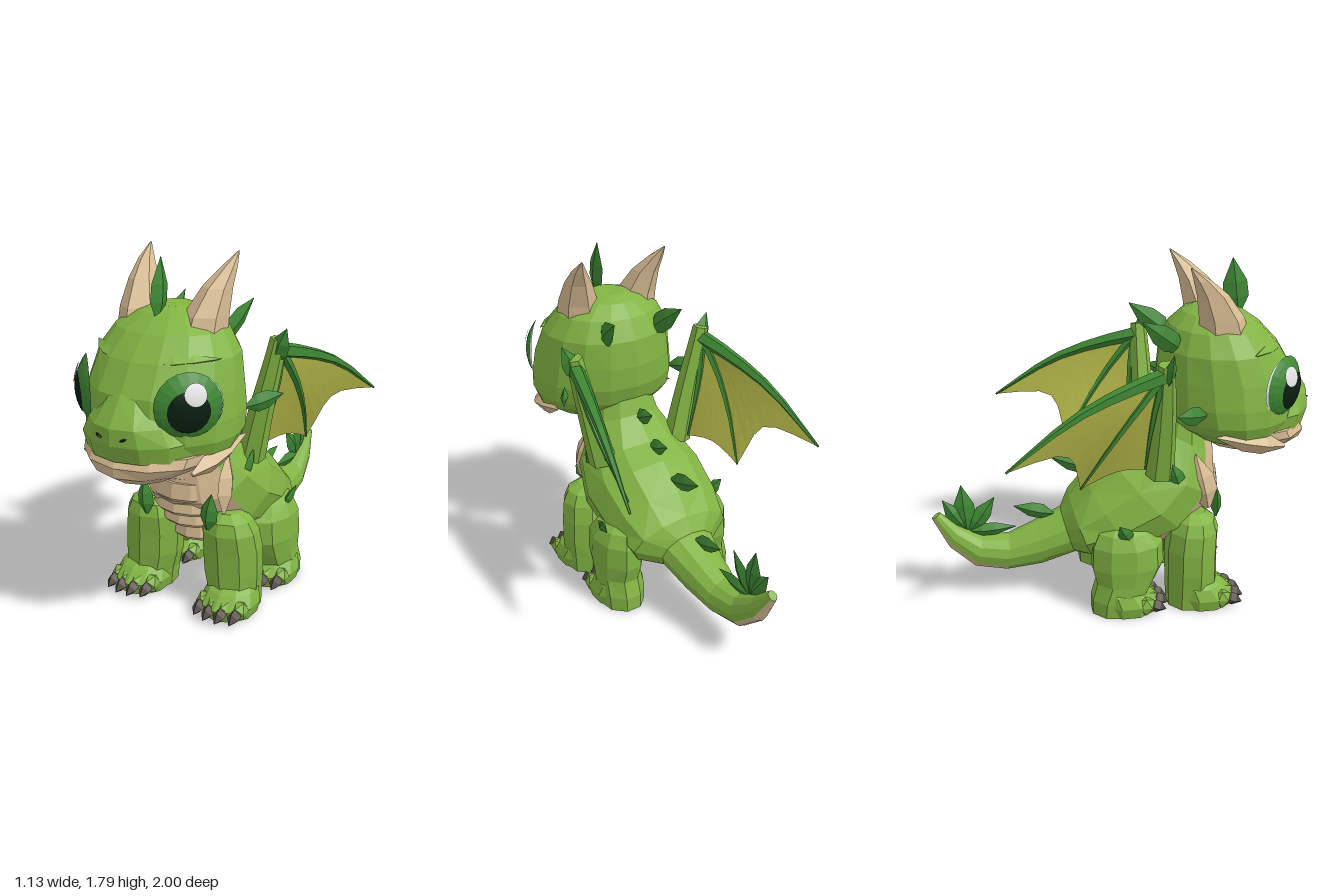
import * as THREE from 'three';

const V = (x, y, z) => new THREE.Vector3(x, y, z);
const mat = (name, color, extra = {}) => {
  const m = new THREE.MeshStandardMaterial({ color, ...extra });
  m.name = name;
  return m;
};

// Faceted geometry from a flat list of corner points
function facets(points) {
  const g = new THREE.BufferGeometry().setFromPoints(points);
  g.computeVertexNormals();
  return g;
}
const corners = (g) => {
  const p = (g.index ? g.toNonIndexed() : g).attributes.position;
  return Array.from({ length: p.count }, (_, i) => new THREE.Vector3().fromBufferAttribute(p, i));
};
const reverse = (pts) => pts.map((_, i) => pts[i % 3 === 0 ? i : i % 3 === 1 ? i + 1 : i - 1]);
const mirrored = (g) => facets(reverse(corners(g).map((p) => V(-p.x, p.y, p.z))));

// Skin between rings, closed at both ends; pick(ring, segment) true goes to the second material
function loft(rings, pick = null) {
  const lists = [[], []], n = rings[0].length;
  for (let i = 0; i < rings.length - 1; i++) {
    for (let k = 0; k < n; k++) {
      const a = rings[i][k], b = rings[i][(k + 1) % n], c = rings[i + 1][(k + 1) % n], d = rings[i + 1][k];
      const list = lists[pick && pick(i, k) ? 1 : 0];
      if ((i + k) % 2) list.push(a, b, c, a, c, d);
      else list.push(a, b, d, b, c, d);
    }
  }
  [rings[0], rings[rings.length - 1]].forEach((r, end) => {
    const mid = r.reduce((s, p) => s.add(p), V(0, 0, 0)).divideScalar(n);
    for (let k = 0; k < n; k++) {
      const a = r[k], b = r[(k + 1) % n];
      lists[0].push(...(end ? [a, b, mid] : [b, a, mid]));
    }
  });
  let pts = [...lists[0], ...lists[1]], volume = 0;
  for (let i = 0; i < pts.length; i += 3) volume += pts[i].dot(V(0, 0, 0).crossVectors(pts[i + 1], pts[i + 2]));
  if (volume < 0) pts = reverse(pts);
  const g = facets(pts);
  if (pick) {
    g.addGroup(0, lists[0].length, 0);
    g.addGroup(lists[0].length, lists[1].length, 1);
  }
  return g;
}
const ringOf = (n, f) => Array.from({ length: n }, (_, k) => f((k / n) * Math.PI * 2));
// Level ring, and ring standing between a top and a bottom point of the side profile
const level = (n) => ([x, y, z, rx, rz]) => ringOf(n, (a) => V(x + Math.sin(a) * rx, y, z + Math.cos(a) * rz));
const upright = (n) => ([zt, yt, zb, yb, w]) => ringOf(n, (a) => V(Math.sin(a) * w,
  (yt + yb) / 2 + Math.cos(a) * (yt - yb) / 2, (zt + zb) / 2 + Math.cos(a) * (zt - zb) / 2));

// Flat leaf-shaped scale from base to tip, broad along the given direction
function leaf(base, tip, width, thick, broad) {
  const b = V(...base), y = V(...tip).sub(b), x = V(...broad);
  const dir = y.clone().normalize();
  x.addScaledVector(dir, -x.dot(dir)).normalize();
  const z = V(0, 0, 0).crossVectors(x, dir);
  return loft([[0, 0.2], [0.3, 0.95], [0.58, 0.9], [1, 0.02]].map(([t, s]) => ringOf(4, (a) =>
    b.clone().addScaledVector(y, t).addScaledVector(x, Math.cos(a) * s * width / 2).addScaledVector(z, Math.sin(a) * s * thick / 2))));
}

// Tapered rod along a curve
function rod(curve, r0, r1, n = 5, steps = 6) {
  const f = curve.computeFrenetFrames(steps);
  return loft(Array.from({ length: steps + 1 }, (_, i) => {
    const c = curve.getPointAt(i / steps), r = r0 + (r1 - r0) * i / steps;
    return ringOf(n, (a) => c.clone().addScaledVector(f.normals[i], Math.cos(a) * r).addScaledVector(f.binormals[i], Math.sin(a) * r));
  }));
}

// Web between two fingers with a scalloped trailing edge
function web(c1, c2, scallop) {
  const pts = [], nt = 6, nu = 6;
  const at = (i, j) => {
    const u = j / nu, t = (i / nt) * (1 - scallop * Math.sin(Math.PI * u));
    return c1.getPoint(t).lerp(c2.getPoint(t), u);
  };
  for (let i = 0; i < nt; i++) for (let j = 0; j < nu; j++) {
    const a = at(i, j), b = at(i + 1, j), c = at(i + 1, j + 1), d = at(i, j + 1);
    pts.push(a, b, c);
    if (i > 0) pts.push(a, c, d);
  }
  return facets(pts);
}

export function createModel() {
  const model = new THREE.Group();
  model.name = 'dragon';
  const skin = mat('skin green', 0x82b443), leafGreen = mat('scale green', 0x3f8834), tan = mat('belly tan', 0xd8bd94);
  const claw = mat('claw brown', 0x51473f), black = mat('pupil dark', 0x0a1f10), white = mat('eye white', 0xe6e6e6);
  const membrane = mat('wing olive', 0xb3b648, { side: THREE.DoubleSide });
  const add = (name, g, m) => {
    const mesh = new THREE.Mesh(g, m);
    mesh.name = name;
    model.add(mesh);
  };
  const pair = (name, g, m) => {
    add(name + 'Left', g, m);
    add(name + 'Right', mirrored(g), m);
  };

  // Neck, body and tail in one skin with a tan underside
  add('bodyAndTail', loft([
    [0.24, 1.08, 0.46, 1.0, 0.15], [0.19, 0.94, 0.5, 0.8, 0.2], [0.08, 0.82, 0.515, 0.56, 0.295],
    [-0.05, 0.765, 0.37, 0.35, 0.34], [-0.19, 0.65, 0.1, 0.25, 0.33], [-0.275, 0.54, -0.16, 0.24, 0.29],
    [-0.32, 0.46, -0.25, 0.23, 0.16], [-0.45, 0.4, -0.43, 0.165, 0.128], [-0.6, 0.335, -0.62, 0.14, 0.1],
    [-0.74, 0.34, -0.79, 0.17, 0.078], [-0.86, 0.41, -0.92, 0.29, 0.055], [-0.955, 0.49, -1, 0.46, 0.022],
  ].map(upright(12)), (i, k) => (i < 5 || i > 7 ? k > 3 && k < 8 : k > 4 && k < 7)), [skin, tan]);

  // Overlapping chest plates, curling back under the belly
  [[0.84, 0.67, 0.31, 0.19, 0.2], [0.67, 0.57, 0.31, 0.225, 0.225], [0.57, 0.49, 0.295, 0.22, 0.225],
    [0.49, 0.41, 0.26, 0.2, 0.215], [0.41, 0.31, 0.22, 0.17, 0.19]].forEach(([top, bottom, z, rx, rz], i) =>
    add('chestPlate' + (i + 1), loft([
      [0, top, z, rx - 0.01, rz - 0.012], [0, bottom + 0.02, z, rx, rz], [0, bottom, z, rx - 0.02, rz - 0.02],
    ].map(level(14))), tan));
  pair('chestFlap', leaf([0.24, 0.53, 0.43], [0.22, 0.83, 0.36], 0.15, 0.08, [0, 0, 1]), tan);

  // Head, muzzle and jaw
  add('head', loft([
    [0, 1.56, 0.47, 0.08, 0.09], [0, 1.53, 0.475, 0.18, 0.155], [0, 1.465, 0.49, 0.28, 0.235], [0, 1.36, 0.515, 0.345, 0.31],
    [0, 1.22, 0.55, 0.372, 0.36], [0, 1.1, 0.56, 0.39, 0.365], [0, 1.01, 0.57, 0.39, 0.345],
    [0, 0.95, 0.58, 0.365, 0.3], [0, 0.88, 0.58, 0.26, 0.2],
  ].map(level(16))), skin);
  add('muzzle', loft([
    [0, 1.3, 0.66, 0.1, 0.18], [0, 1.22, 0.68, 0.16, 0.235], [0, 1.1, 0.7, 0.255, 0.297], [0, 1.02, 0.7, 0.305, 0.298],
    [0, 0.94, 0.7, 0.29, 0.275],
  ].map(level(14))), skin);
  add('jaw', loft([
    [0, 0.955, 0.67, 0.33, 0.285], [0, 0.91, 0.69, 0.32, 0.292], [0, 0.86, 0.7, 0.25, 0.275], [0, 0.805, 0.69, 0.15, 0.2],
  ].map(level(12))), tan);
  pair('mouthCorner', leaf([0.3, 0.88, 0.8], [0.36, 0.97, 0.42], 0.12, 0.1, [0, 1, 0]), tan);
  pair('nostril', leaf([0.05, 1.05, 0.99], [0.085, 1.065, 0.98], 0.013, 0.025, [0, 1, 0]), black);
  pair('brow', leaf([0.1, 1.36, 0.8], [0.345, 1.375, 0.61], 0.075, 0.06, [0.7, 0, 0.7]), skin);
  pair('horn', loft([
    [0.17, 1.43, 0.5, 0.11, 0.13], [0.18, 1.53, 0.48, 0.1, 0.115], [0.205, 1.65, 0.425, 0.068, 0.08],
    [0.23, 1.73, 0.365, 0.037, 0.044], [0.245, 1.795, 0.305, 0.004, 0.004],
  ].map(level(6))), tan);

  // Eyes: layered caps of one shallow dome
  const eyeCap = (r, spread, tiltX, tiltY) => {
    const g = new THREE.SphereGeometry(r, 20, 6, 0, Math.PI * 2, 0, spread);
    g.rotateX(Math.PI / 2).rotateX(tiltX).rotateY(tiltY).rotateY(0.82);
    return facets(corners(g.translate(0.297 - 0.731 * 0.21, 1.192, 0.807 - 0.682 * 0.21)));
  };
  pair('eyeWhite', eyeCap(0.237, 0.69, 0, 0.07), white);
  pair('iris', eyeCap(0.24, 0.71, 0, 0), leafGreen);
  pair('pupil', eyeCap(0.244, 0.41, 0.06, -0.03), black);
  pair('eyeGlint', eyeCap(0.248, 0.21, -0.28, 0.1), white);

  // Legs, feet, toes and claws
  const leg = (name, rings, footX, footZ) => {
    pair(name, loft(rings.map(level(9))), skin);
    pair(name + 'Foot', loft([
      [footX, 0, footZ, 0.135, 0.15], [footX, 0.06, footZ, 0.15, 0.165], [footX, 0.12, footZ - 0.03, 0.13, 0.135],
      [footX, 0.18, footZ - 0.07, 0.075, 0.075],
    ].map(level(10))), skin);
    for (let i = 0; i < 4; i++) {
      const off = (i - 1.5) * 0.068, x = footX + off, z = footZ + 0.14 - Math.abs(off) * 0.35;
      pair(name + 'Toe' + (i + 1), facets(corners(new THREE.IcosahedronGeometry(1))
        .map((p) => V(x + p.x * 0.042, 0.055 + p.y * 0.055, z - 0.025 + p.z * 0.055))), skin);
      pair(name + 'Claw' + (i + 1), leaf([x, 0.065, z - 0.01], [x, 0.025, z + 0.085], 0.066, 0.075, [1, 0, 0]), claw);
    }
  };
  leg('frontLeg', [
    [0.255, 0, 0.34, 0.13, 0.13], [0.25, 0.1, 0.345, 0.14, 0.14], [0.24, 0.2, 0.345, 0.158, 0.14],
    [0.235, 0.32, 0.345, 0.16, 0.14], [0.23, 0.42, 0.355, 0.15, 0.135], [0.228, 0.48, 0.36, 0.12, 0.11],
    [0.225, 0.515, 0.36, 0.06, 0.06],
  ], 0.265, 0.41);
  leg('hindLeg', [
    [0.28, 0, -0.06, 0.12, 0.14], [0.28, 0.08, -0.05, 0.125, 0.15], [0.28, 0.17, -0.015, 0.12, 0.16],
    [0.275, 0.26, -0.005, 0.13, 0.195], [0.27, 0.38, -0.005, 0.127, 0.19], [0.26, 0.45, -0.015, 0.105, 0.145],
    [0.25, 0.49, -0.02, 0.06, 0.08],
  ], 0.275, 0.0);

  // Wings: arm, three fingers, webs and thumb
  const curve = (...p) => new THREE.CatmullRomCurve3(p.map((q) => V(...q)));
  const joint = [0.385, 1.31, 0.15];
  const fingers = [
    curve(joint, [0.44, 1.25, -0.07], [0.495, 1.155, -0.3], [0.56, 0.94, -0.62]),
    curve(joint, [0.4, 1.16, 0.03], [0.385, 0.96, -0.11], [0.34, 0.73, -0.25]),
    curve(joint, [0.36, 1.16, 0.12], [0.31, 0.96, 0.1], [0.26, 0.78, 0.09]),
  ];
  pair('wingArm', rod(curve([0.24, 0.74, 0.17], [0.3, 1.0, 0.175], [0.36, 1.25, 0.17], [0.385, 1.37, 0.165]), 0.075, 0.042, 6), skin);
  fingers.forEach((f, i) => pair('wingFinger' + (i + 1), rod(f, i ? 0.026 : 0.042, 0.006), leafGreen));
  pair('wingWebOuter', web(fingers[0], fingers[1], 0.17), membrane);
  pair('wingWebInner', web(fingers[1], fingers[2], 0.07), membrane);
  pair('wingThumb', leaf([0.365, 1.25, 0.17], [0.44, 1.43, 0.19], 0.1, 0.06, [1, 0, 0]), leafGreen);

  // Paired scales on head, chest, shoulder and thigh
  pair('upperEarScale', leaf([0.15, 1.36, 0.3], [0.2, 1.53, 0.08], 0.12, 0.04, [0, 1, 0.7]), leafGreen);
  pair('lowerEarScale', leaf([0.33, 1.08, 0.38], [0.44, 1.12, 0.21], 0.1, 0.04, [0, 1, 0]), leafGreen);
  pair('chestScale', leaf([0.18, 0.45, 0.49], [0.2, 0.64, 0.48], 0.1, 0.06, [1, 0, 0]), leafGreen);
  pair('shoulderScale', leaf([0.27, 0.67, 0.27], [0.285, 0.81, 0.22], 0.09, 0.04, [0, 0, 1]), leafGreen);
  pair('thighScale', leaf([0.35, 0.43, 0.0], [0.385, 0.53, -0.06], 0.08, 0.04, [0, 0, 1]), leafGreen);

  // Scales along the midline: base z, y, tip z, y, width
  [
    [0.61, 1.5, 0.575, 1.79, 0.14], [0.2, 0.92, 0.05, 0.99, 0.09], [0.07, 0.8, -0.09, 0.86, 0.09],
    [-0.13, 0.69, -0.37, 0.77, 0.1], [-0.36, 0.44, -0.57, 0.5, 0.09], [-0.82, 0.37, -0.56, 0.38, 0.08],
    [-0.81, 0.37, -0.67, 0.56, 0.1], [-0.82, 0.37, -0.84, 0.64, 0.12], [-0.82, 0.38, -0.94, 0.56, 0.1],
  ].forEach(([bz, by, tz, ty, w], i) =>
    add(i ? 'backScale' + i : 'crest', leaf([0, by, bz], [0, ty, tz], w, 0.045, [0, tz - bz, by - ty]), leafGreen));

  return model;
}
